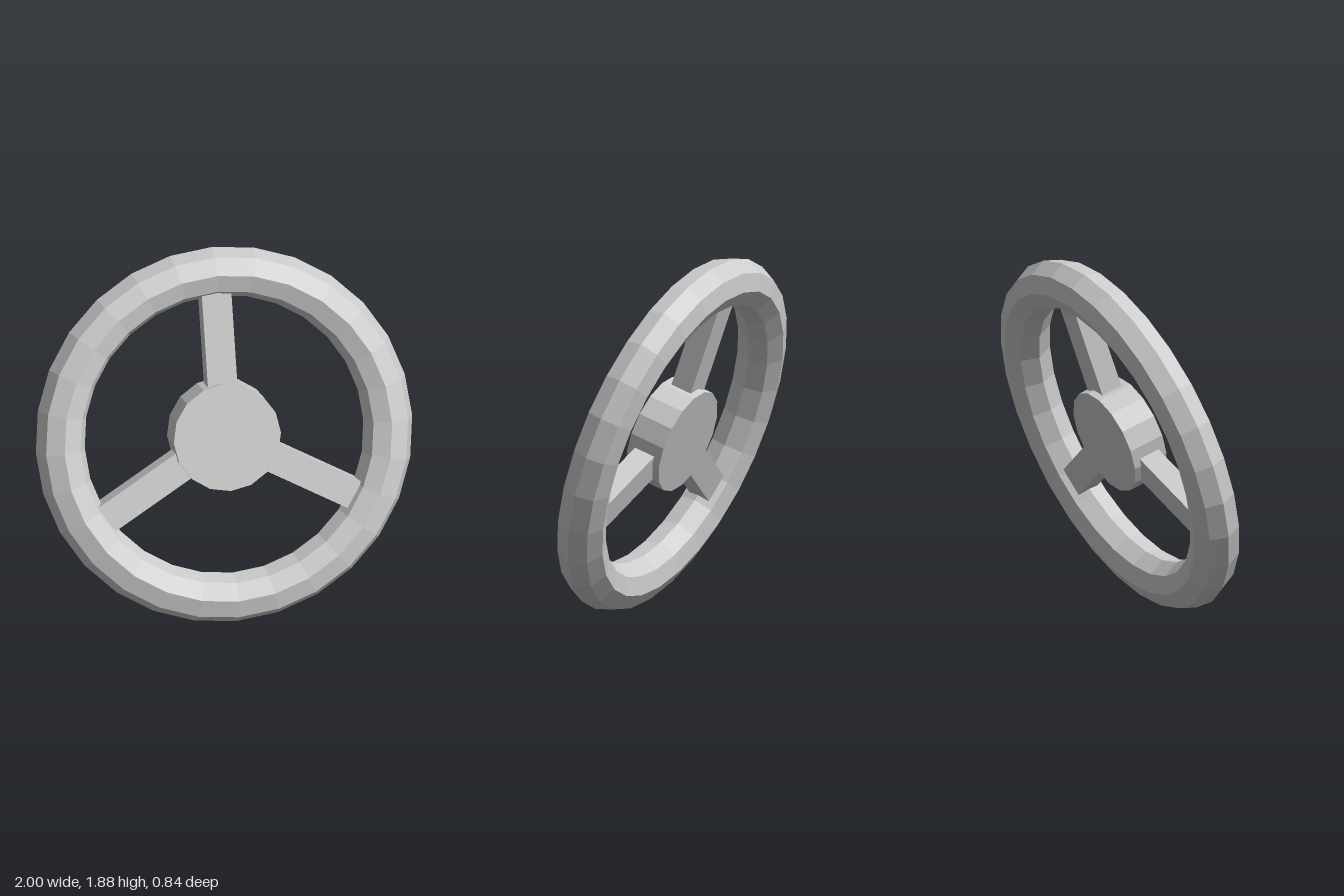
import * as THREE from 'three';

export function createModel() {
  const grey = new THREE.MeshStandardMaterial({ color: 0xcccccc, flatShading: true });
  grey.name = 'lightGrey';

  const model = new THREE.Group();
  model.name = 'steeringWheel';

  // The wheel is built upright, then leaned back
  const wheel = new THREE.Group();
  wheel.name = 'tiltedWheel';
  wheel.position.y = 0.94;
  wheel.rotation.x = -THREE.MathUtils.degToRad(20);
  model.add(wheel);

  const add = (name, geometry) => {
    const mesh = new THREE.Mesh(geometry, grey);
    mesh.name = name;
    wheel.add(mesh);
  };

  // Octagonal rim
  add('rim', new THREE.TorusGeometry(0.87, 0.13, 8, 28));

  // Central hub, facing forward
  add('hub', new THREE.CylinderGeometry(0.285, 0.285, 0.2, 16).rotateX(Math.PI / 2));

  // Three spokes from inside the hub to inside the rim
  const inner = 0.2, outer = 0.84;
  ['topSpoke', 'rightSpoke', 'leftSpoke'].forEach((name, i) => {
    const spoke = new THREE.BoxGeometry(0.157, outer - inner, 0.12);
    spoke.translate(0, (inner + outer) / 2, 0);
    spoke.rotateZ(i * Math.PI * 2 / 3);
    add(name, spoke);
  });

  return model;
}
